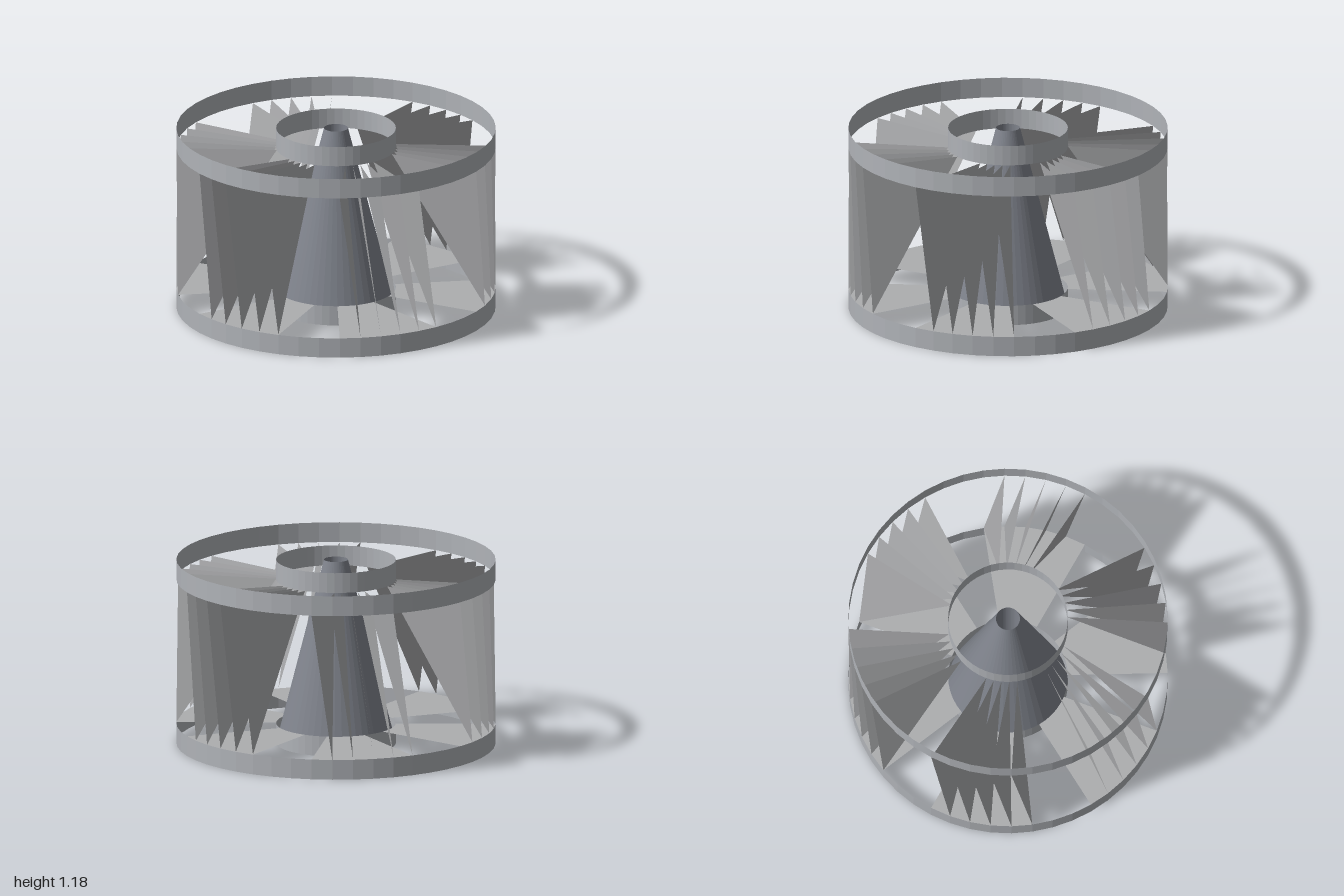
import * as THREE from 'three';

const HEIGHT = 1.18, BAND = 0.127;         // overall height, height of each hoop
const OUTER = 1, HUB = 0.375, BORE = 0.075;
const SIDES = 48, STEP = (Math.PI * 2) / SIDES;
const LOW = BAND, HIGH = HEIGHT - BAND;    // levels the vanes span
const SECTORS = 6, VANES = 5;

const hoopGrey = new THREE.MeshStandardMaterial({ color: 0xb0b3b8, flatShading: true, side: THREE.DoubleSide });
hoopGrey.name = 'hoop grey';
const vaneGrey = new THREE.MeshStandardMaterial({ color: 0xadaeb0, flatShading: true, side: THREE.DoubleSide });
vaneGrey.name = 'vane grey';
const coreGrey = new THREE.MeshStandardMaterial({ color: 0x80848d, flatShading: true });
coreGrey.name = 'core slate grey';

function addMesh(parent, name, geometry, material) {
  const mesh = new THREE.Mesh(geometry, material);
  mesh.name = name;
  parent.add(mesh);
  return mesh;
}

// point at a radius, height and angle (angle runs from +x towards +z)
const polar = (r, y, a) => [r * Math.cos(a), y, r * Math.sin(a)];

// open, paper-thin band
function addHoop(parent, name, radius, bottom) {
  const geometry = new THREE.CylinderGeometry(radius, radius, BAND, SIDES, 1, true);
  addMesh(parent, name, geometry, hoopGrey).position.y = bottom + BAND / 2;
}

// leaning triangular vane: low outer tip, high outer tip one step on, high hub tip
function vaneGeometry(a) {
  const corners = [polar(OUTER, LOW, a), polar(HUB, HIGH, a), polar(OUTER, HIGH, a + STEP)];
  const geometry = new THREE.BufferGeometry();
  geometry.setAttribute('position', new THREE.Float32BufferAttribute(corners.flat(), 3));
  geometry.computeVertexNormals();
  return geometry;
}

export function createModel() {
  const model = new THREE.Group();
  model.name = 'vanedRotor';

  // outer and hub hoops, bottom and top
  addHoop(model, 'lowerOuterHoop', OUTER, 0);
  addHoop(model, 'upperOuterHoop', OUTER, HIGH);
  addHoop(model, 'lowerHubHoop', HUB, 0);
  addHoop(model, 'upperHubHoop', HUB, HIGH);

  // tapered core with a bore straight through
  const profile = [[BORE, 0], [HUB, 0], [BORE, HEIGHT], [BORE, 0]]
    .map(([r, y]) => new THREE.Vector2(r, y));
  addMesh(model, 'core', new THREE.LatheGeometry(profile, SIDES), coreGrey);

  // six sectors, each a floor plate carrying a fan of vanes
  for (let s = 0; s < SECTORS; s++) {
    const sector = new THREE.Group();
    sector.name = 'sector';
    sector.rotation.y = -s * Math.PI * 2 / SECTORS;
    model.add(sector);

    const plate = new THREE.RingGeometry(HUB, OUTER, VANES, 1, 0, VANES * STEP);
    plate.rotateX(Math.PI / 2);
    addMesh(sector, 'floorPlate', plate, vaneGrey).position.y = LOW;

    for (let v = 0; v < VANES; v++) {
      addMesh(sector, 'vane', vaneGeometry(v * STEP), vaneGrey);
    }
  }
  return model;
}
